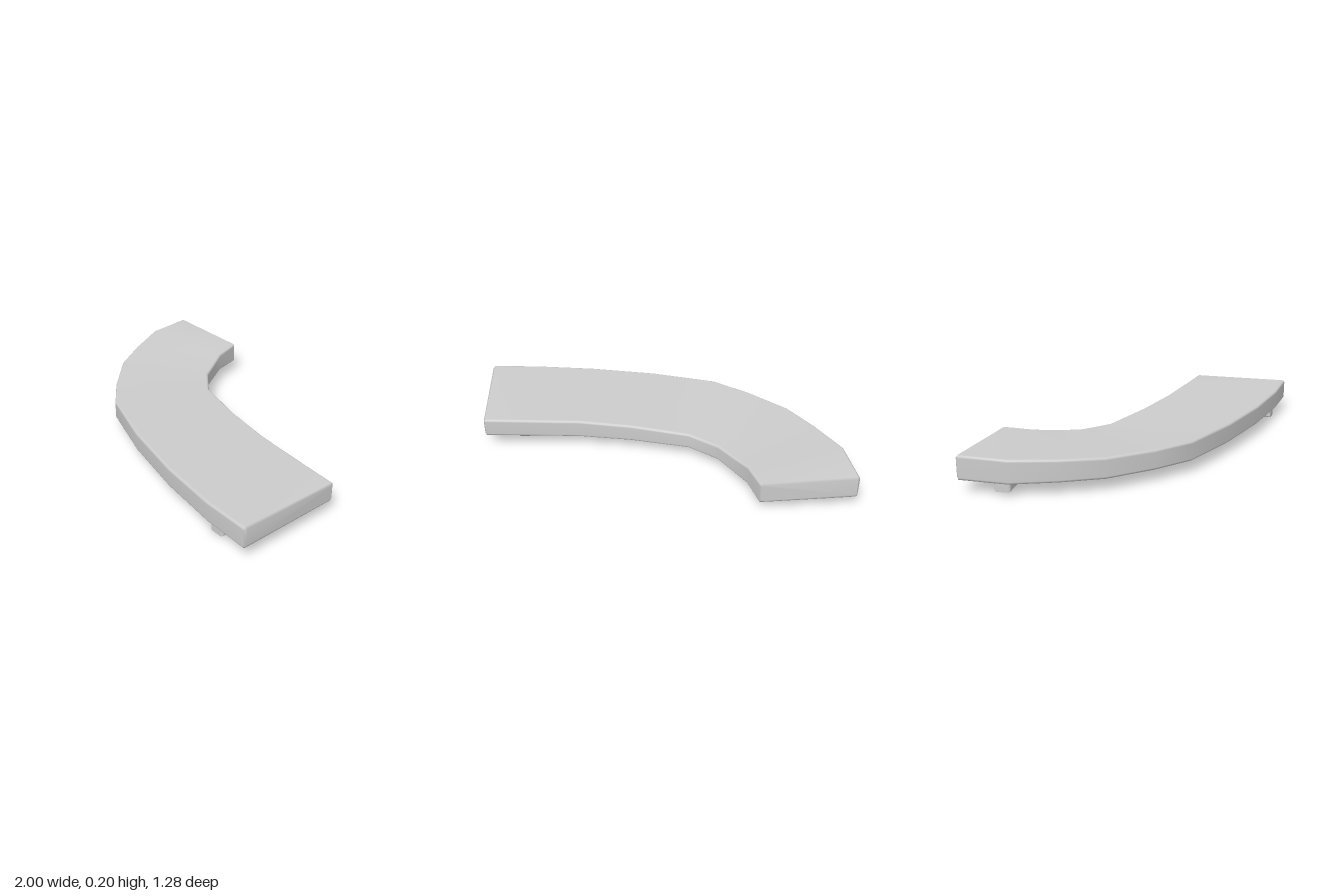
import * as THREE from 'three';

// Stations along the curve: outer x, z, top y, then inner x, z, top y
const STATIONS = [
  [-1, -0.63, 0.197, -0.48, -0.64, 0.187],
  [-0.975, -0.36, 0.196, -0.44, -0.48, 0.175],
  [-0.87, -0.14, 0.187, -0.38, -0.38, 0.165],
  [-0.75, 0.06, 0.18, -0.31, -0.265, 0.158],
  [-0.55, 0.25, 0.176, -0.235, -0.205, 0.157],
  [-0.36, 0.39, 0.175, -0.16, -0.145, 0.158],
  [0, 0.505, 0.175, 0.16, -0.055, 0.166],
  [0.38, 0.585, 0.176, 0.45, 0, 0.172],
  [0.73, 0.628, 0.18, 0.8, 0.03, 0.172],
  [0.998, 0.636, 0.187, 0.998, 0.045, 0.173],
];
const BOTTOM = 0.066;
const R = 0.014; // edge rounding

// Rounded cross-section, running from the outer bottom corner round to the outer top
function section([ox, oz, oy, ix, iz, iy], inset) {
  const width = Math.hypot(ix - ox, iz - oz);
  const ring = [];
  for (let corner = 0; corner < 4; corner++) {
    const inner = corner === 1 || corner === 2;
    const top = corner > 1;
    for (let k = 0; k < 4; k++) {
      const a = Math.PI + (corner + k / 3) * Math.PI / 2;
      const r = R - inset * 0.5;
      const m = r + inset;
      const s = (inner ? width - m : m) + r * Math.cos(a);
      const y = (top ? (inner ? iy : oy) - m : BOTTOM + m) + r * Math.sin(a);
      const t = s / width;
      ring.push([ox + (ix - ox) * t, y, oz + (iz - oz) * t]);
    }
  }
  return ring;
}

// Station moved a little way towards its neighbour
function shifted(station, next, distance) {
  const length = Math.hypot(next[0] - station[0], next[1] - station[1]);
  return station.map((v, i) => v + (next[i] - v) * distance / length);
}

function slabGeometry() {
  const n = STATIONS.length;
  const first = STATIONS[0], last = STATIONS[n - 1];
  const rings = [
    section(first, 0.01),
    section(shifted(first, STATIONS[1], 0.01), 0),
    ...STATIONS.slice(1, -1).map((s) => section(s, 0)),
    section(shifted(last, STATIONS[n - 2], 0.01), 0),
    section(last, 0.01),
  ];
  const m = rings[0].length;
  const positions = rings.flat(2);
  const index = [];
  for (let i = 0; i < rings.length - 1; i++) {
    for (let j = 0; j < m; j++) {
      const a = i * m + j, b = i * m + (j + 1) % m;
      index.push(a, b, b + m, a, b + m, a + m);
    }
  }
  // End caps
  const lastStart = (rings.length - 1) * m;
  for (let j = 1; j < m - 1; j++) {
    index.push(0, j + 1, j);
    index.push(lastStart, lastStart + j, lastStart + j + 1);
  }
  const geometry = new THREE.BufferGeometry();
  geometry.setAttribute('position', new THREE.Float32BufferAttribute(positions, 3));
  geometry.setIndex(index);
  geometry.computeVertexNormals();
  return geometry;
}

// Support rail: side profile (distance from inner end, y) with softened edges
function rail(name, profile, start, end, material) {
  const bevel = 0.012, width = 0.086;
  const shape = new THREE.Shape(profile.map(([u, y]) => new THREE.Vector2(u, y)));
  const geometry = new THREE.ExtrudeGeometry(shape, {
    depth: width - 2 * bevel,
    bevelEnabled: true,
    bevelThickness: bevel,
    bevelSize: bevel,
    bevelOffset: -bevel,
    bevelSegments: 3,
  });
  geometry.translate(0, 0, bevel - width / 2);
  const mesh = new THREE.Mesh(geometry, material);
  mesh.name = name;
  mesh.position.set(start[0], 0, start[1]);
  mesh.rotation.y = Math.atan2(start[1] - end[1], end[0] - start[0]);
  return mesh;
}

export function createModel() {
  const grey = new THREE.MeshStandardMaterial({ color: 0xcccccc });
  grey.name = 'light grey';

  const slab = new THREE.Mesh(slabGeometry(), grey);
  slab.name = 'curvedSlab';

  // Rails under both ends, running from the inner to the outer edge
  const frontRail = rail('frontRail',
    [[0, 0.09], [0, 0.062], [0.025, 0.034], [0.06, 0.02], [0.36, 0], [0.55, 0.005], [0.55, 0.09]],
    [0.765, 0.05], [0.765, 0.6], grey);
  const backRail = rail('backRail',
    [[0, 0.09], [0, 0.058], [0.02, 0.042], [0.06, 0.035], [0.35, 0.02], [0.483, 0.02], [0.483, 0.09]],
    [-0.482, -0.455], [-0.965, -0.4], grey);

  const model = new THREE.Group();
  model.name = 'curvedBench';
  model.add(slab, frontRail, backRail);
  return model;
}
